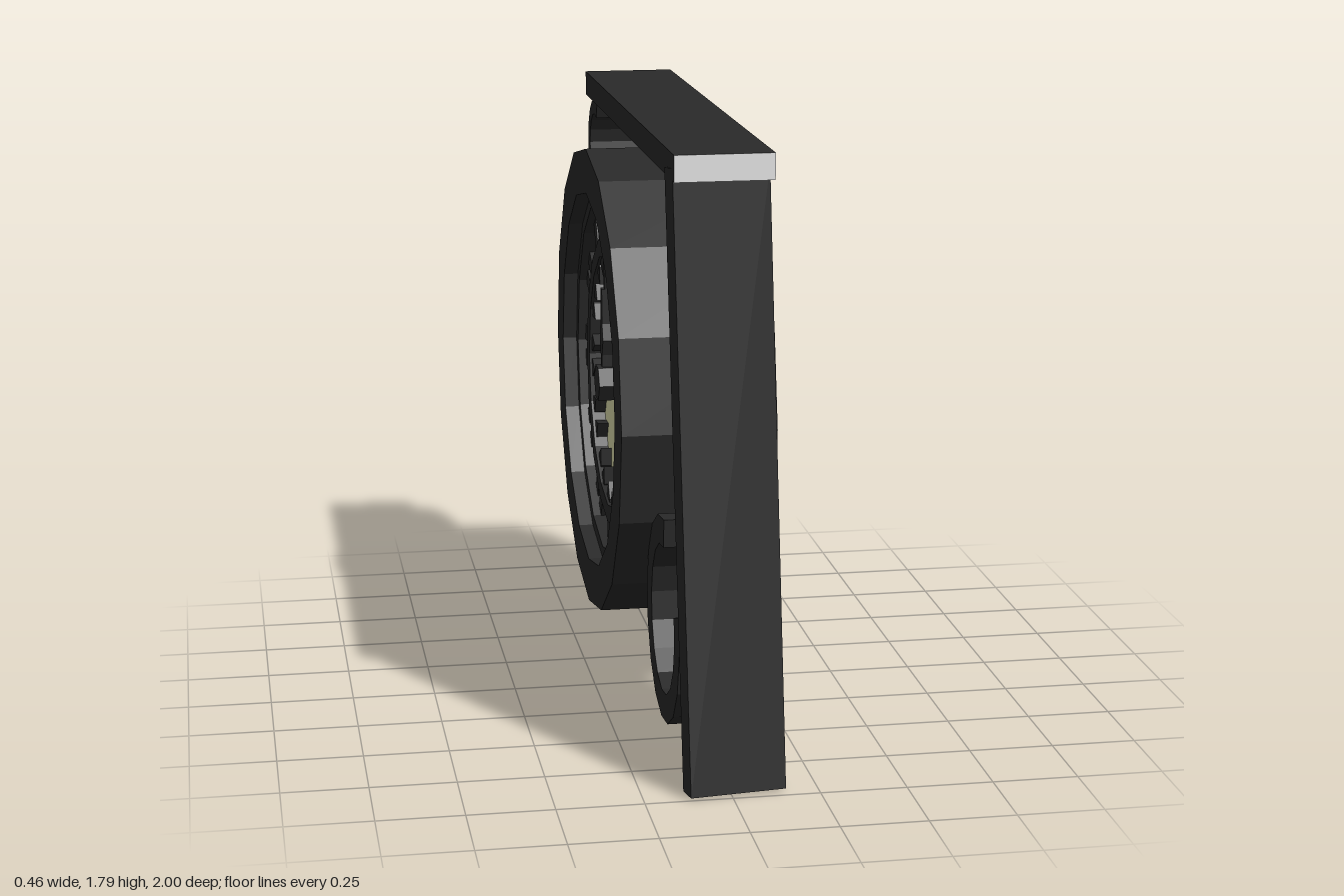
import * as THREE from 'three';

const flat = (name, color) => {
  const m = new THREE.MeshStandardMaterial({ color, flatShading: true });
  m.name = name;
  return m;
};

export function createModel() {
  const iron = flat('dark iron', 0x2a2a2a);
  const cream = flat('cream dial', 0xe7e7b4);
  const grey = flat('light grey', 0xe8e8e8);
  const model = new THREE.Group();
  model.name = 'hangingClock';

  const add = (parent, name, geometry, material) => {
    const mesh = new THREE.Mesh(geometry, material);
    mesh.name = name;
    parent.add(mesh);
    return mesh;
  };
  const poly = (pts) => new THREE.Shape(pts.map(([x, y]) => new THREE.Vector2(x, y)));
  const circle = (r, n) => Array.from({ length: n }, (_, i) => {
    const a = (i / n) * Math.PI * 2;
    return [r * Math.cos(a), r * Math.sin(a)];
  });
  // Extrude a shape between two depths
  const slab = (shape, z0, z1) =>
    new THREE.ExtrudeGeometry(shape, { depth: z1 - z0, bevelEnabled: false }).translate(0, 0, z0);

  // Top bar with a pale front end
  add(model, 'topBar', new THREE.BoxGeometry(0.28, 0.075, 1.745), [iron, iron, iron, iron, grey, iron])
    .position.set(-0.002, 1.757, -0.03);

  // Leaning, slightly twisted post
  const post = add(model, 'post', new THREE.BoxGeometry(0.278, 1.755, 0.08), iron);
  post.rotation.set(-0.11, 0.11, 0, 'YXZ');
  post.position.set(0.003, 0.877, 0.853);

  // Curled brackets: open bands swept around 13 sixteenths of a circle
  const scroll = (name, y, z, rz, ry, thickness, startDeg) => {
    const arc = (inset) => Array.from({ length: 14 }, (_, i) => {
      const a = THREE.MathUtils.degToRad(startDeg - i * 22.5);
      return [(rz - inset) * Math.cos(a), (ry - inset) * Math.sin(a)];
    });
    const band = poly([...arc(0), ...arc(thickness).reverse()]);
    const mesh = add(model, name, slab(band, -0.132, 0.14), iron);
    mesh.rotation.y = Math.PI / 2;
    mesh.position.set(0, y, z);
  };
  scroll('lowerScroll', 0.399, 0.584, 0.288, 0.306, 0.085, 95);
  scroll('upperScroll', 1.566, -0.774, 0.152, 0.152, 0.045, 112);

  const clock = new THREE.Group();
  clock.name = 'clock';
  clock.position.set(0, 0.914, -0.272);
  model.add(clock);

  // Sixteen-sided drum with a stepped rim on both sides
  const profile = [[0.55, -0.11], [0.55, -0.185], [0.588, -0.185], [0.588, -0.23], [0.726, -0.23],
    [0.726, 0.23], [0.588, 0.23], [0.588, 0.185], [0.55, 0.185], [0.55, 0.11]];
  add(clock, 'drum', new THREE.LatheGeometry(profile.map(([r, h]) => new THREE.Vector2(r, h)), 16), iron)
    .rotation.z = -Math.PI / 2;
  add(clock, 'dial', new THREE.CylinderGeometry(0.57, 0.57, 0.25, 16), cream).rotation.z = -Math.PI / 2;

  // Shapes shared by both faces
  const ringShape = poly(circle(0.457, 16));
  ringShape.holes.push(new THREE.Path(circle(0.4, 16).map(([x, y]) => new THREE.Vector2(x, y))));
  const ring = slab(ringShape, 0.124, 0.168);
  const bar = slab(poly([[-0.026, 0.41], [-0.03, 0.385], [0, 0.335], [0.026, 0.385],
    [0.026, 0.555], [-0.026, 0.555]]), 0.124, 0.16);
  const minuteHand = slab(poly([[-0.015, 0], [0.015, 0], [0.015, 0.36], [0.022, 0.38],
    [0, 0.457], [-0.022, 0.38], [-0.015, 0.36]]), 0.145, 0.175);
  const hourHand = slab(poly([[-0.015, 0], [0.015, 0], [0.015, 0.09], [0.035, 0.14],
    [0.018, 0.19], [0.015, 0.3], [-0.015, 0.3], [-0.018, 0.19], [-0.035, 0.14], [-0.015, 0.09]]), 0.15, 0.185);
  const hub = slab(poly(circle(0.06, 6)), 0.124, 0.2);

  for (const side of [1, -1]) {
    const face = new THREE.Group();
    face.name = side > 0 ? 'leftFace' : 'rightFace';
    face.rotation.y = side * Math.PI / 2;
    face.position.y = -0.013;
    clock.add(face);
    add(face, 'chapterRing', ring, iron);
    // Two pointed bars at every hour
    for (let h = 0; h < 12; h++) {
      const hour = new THREE.Group();
      hour.name = 'hourMark';
      hour.rotation.z = (h / 12) * Math.PI * 2;
      face.add(hour);
      for (const s of [-1, 1]) add(hour, 'hourBar', bar, iron).position.x = s * 0.042;
    }
    add(face, 'minuteHand', minuteHand, iron);
    add(face, 'hourHand', hourHand, iron);
    add(face, 'hub', hub, iron);
  }
  return model;
}
